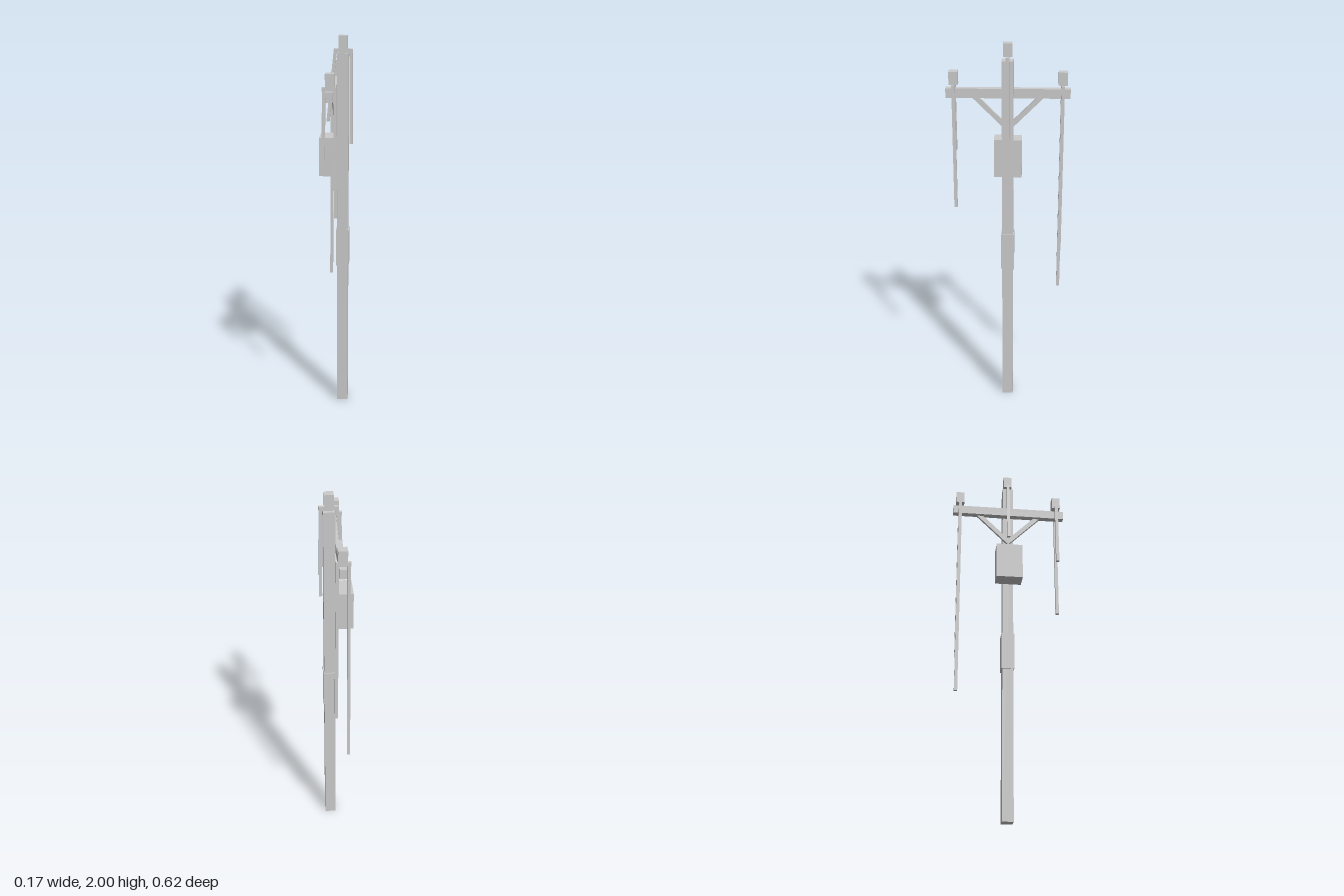
import * as THREE from 'three';

const material = new THREE.MeshStandardMaterial({ color: 0xcccccc, flatShading: true });

function add(parent, name, geometry) {
  const mesh = new THREE.Mesh(geometry, material);
  mesh.name = name;
  parent.add(mesh);
  return mesh;
}

// Box given by its lower and upper corners
function box(parent, name, [x0, y0, z0], [x1, y1, z1]) {
  const mesh = add(parent, name, new THREE.BoxGeometry(x1 - x0, y1 - y0, z1 - z0));
  mesh.position.set((x0 + x1) / 2, (y0 + y1) / 2, (z0 + z1) / 2);
  return mesh;
}

// Hanging wire: a thin box whose lower end is shifted sideways
function wire(parent, name, xTop, yTop, xEnd, yEnd, z) {
  const geometry = new THREE.BoxGeometry(0.016, yTop - yEnd, 0.017);
  const p = geometry.attributes.position;
  for (let i = 0; i < p.count; i++) {
    if (p.getY(i) < 0) p.setX(i, p.getX(i) + xEnd - xTop);
  }
  geometry.computeVertexNormals();
  add(parent, name, geometry).position.set(xTop, (yTop + yEnd) / 2, z);
}

// Insulator block on a wire clamp, with two cut wires hanging from it
function insulator(parent, name, { x, y, z, clamp, wires }) {
  const group = new THREE.Group();
  group.name = name;
  box(group, 'insulatorBlock', [x - 0.0225, y + 0.02, z - 0.0225], [x + 0.0225, y + 0.085, z + 0.0225]);
  box(group, 'wireClamp', [clamp[0], y, z - 0.0088], [clamp[1], y + 0.02, z + 0.0088]);
  for (const [xTop, xEnd, yEnd] of wires) wire(group, 'hangingWire', xTop, y + 0.018, xEnd, yEnd, z);
  parent.add(group);
}

export function createModel() {
  const model = new THREE.Group();
  model.name = 'utilityPole';

  // Pole with its sleeve
  box(model, 'pole', [0.002, 0, -0.029], [0.06, 1.915, 0.029]);
  box(model, 'poleSleeve', [-0.003, 0.8, -0.034], [0.065, 1.0, 0.034]);

  // Crossarm and equipment box on the pole's right side
  box(model, 'crossarm', [-0.031, 1.715, -0.31], [0.002, 1.763, 0.31]);
  box(model, 'transformerBox', [-0.086, 1.297, -0.071], [0.002, 1.497, 0.071]);

  // V-shaped brace under the crossarm
  const vee = new THREE.Shape([
    [0, 1.54], [0.175, 1.715], [0.14, 1.715], [0, 1.575], [-0.14, 1.715], [-0.175, 1.715],
  ].map(([z, y]) => new THREE.Vector2(z, y)));
  const brace = add(model, 'brace', new THREE.ExtrudeGeometry(vee, { depth: 0.015, bevelEnabled: false }));
  brace.rotation.y = Math.PI / 2;
  brace.position.x = -0.013;

  // Insulators: wires are [top x, end x, end y]
  insulator(model, 'topInsulator', {
    x: 0.031, y: 1.915, z: 0, clamp: [-0.015, 0.08],
    wires: [[-0.007, -0.045, 1.57], [0.071, 0.074, 1.455]],
  });
  insulator(model, 'frontInsulator', {
    x: -0.014, y: 1.763, z: 0.27, clamp: [-0.053, 0.018],
    wires: [[-0.043, -0.048, 1.43], [0.01, 0.013, 1.135]],
  });
  insulator(model, 'backInsulator', {
    x: -0.014, y: 1.763, z: -0.272, clamp: [-0.053, 0.018],
    wires: [[-0.043, -0.049, 0.645], [0.01, 0.016, 0.89]],
  });

  return model;
}
